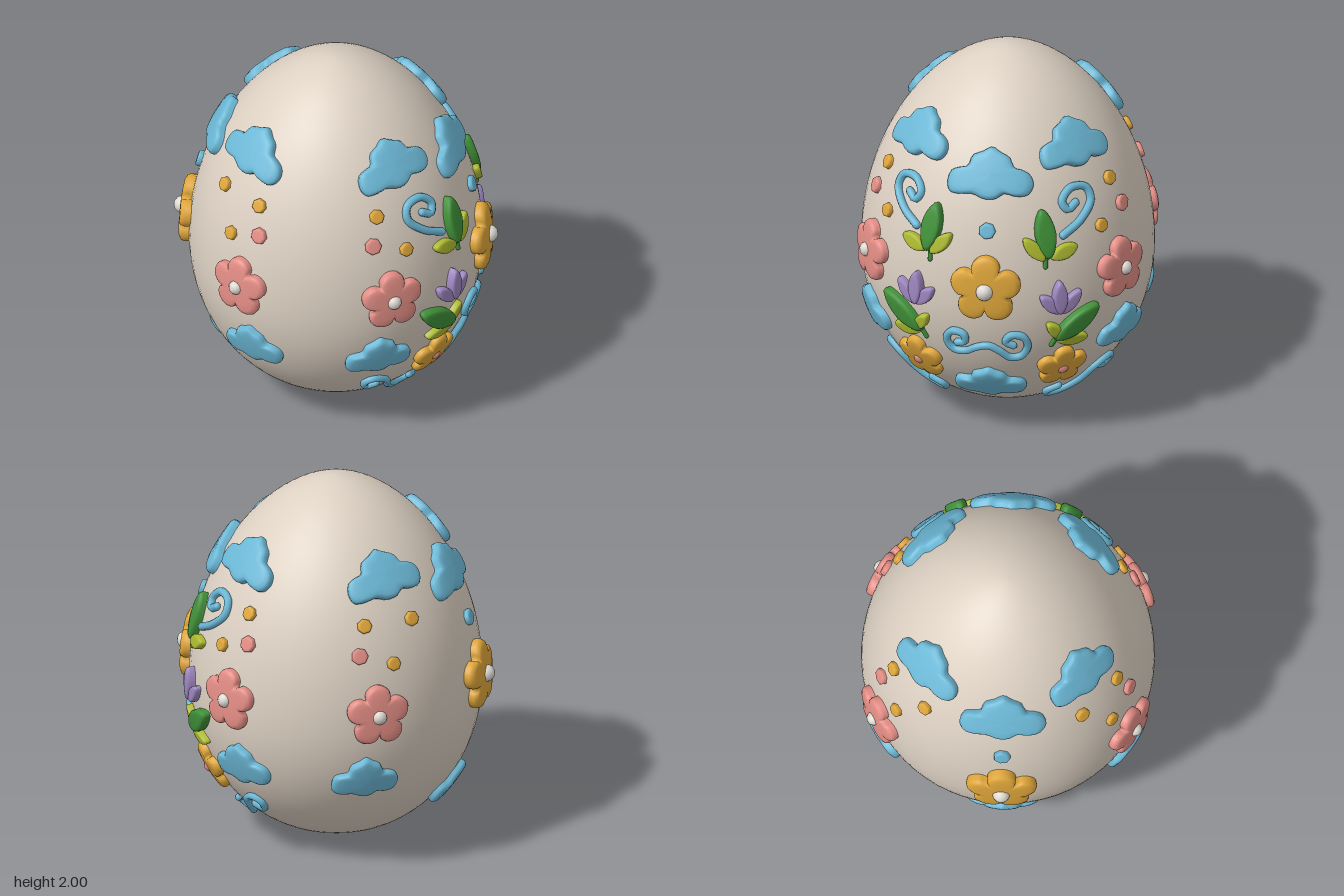
import * as THREE from 'three';

const paint = (name, color) => {
  const m = new THREE.MeshStandardMaterial({ color });
  m.name = name;
  return m;
};
const mats = {
  shell: paint('cream shell', 0xdcd0c2),
  base: paint('brown base', 0xb0795a),
  blue: paint('sky blue', 0x6cb8d6),
  yellow: paint('honey yellow', 0xdfa63a),
  pink: paint('soft pink', 0xe48e86),
  green: paint('leaf green', 0x3f9038),
  lime: paint('lime green', 0xadbb30),
  purple: paint('lilac', 0x9f87c0),
  white: paint('off white', 0xdedad2),
};

// Egg radius at height y
const MID = 0.85, RAD = 0.775;
function radiusAt(y) {
  const t = y > MID ? (y - MID) / (2 - MID) : (MID - y) / MID;
  return RAD * Math.pow(Math.max(0, 1 - t * t), y > MID ? 0.58 : 0.47);
}
// Point on the egg, azimuth measured from +x towards +z
function eggPoint(az, y) {
  const r = radiusAt(y);
  return new THREE.Vector3(r * Math.cos(az), y, r * Math.sin(az));
}
function eggNormal(p) {
  const y = THREE.MathUtils.clamp(p.y, 0.01, 1.99);
  const slope = (radiusAt(y + 0.005) - radiusAt(y - 0.005)) / 0.01;
  const az = Math.atan2(p.z, p.x);
  return new THREE.Vector3(Math.cos(az), -slope, Math.sin(az)).normalize();
}
const azFromZ = (z, y) => Math.asin(THREE.MathUtils.clamp(z / radiusAt(y), -1, 1));

// Relief patch: a flat outline laid over the curved egg with a rounded rim
// Each ring: outline scale, sink below the shell, share of the thickness
const RIM = [[1, -0.02, 0], [1, 0, 0.5], [0.94, 0, 0.85], [0.82, 0, 1], [0.6, 0, 1.02], [0.3, 0, 1.02], [0, 0, 1.02]];
function patchGeometry(outline, az, y, roll, thick) {
  const anchor = eggPoint(az, y), n = eggNormal(anchor);
  const right = new THREE.Vector3(0, 1, 0).cross(n).normalize();
  const up = n.clone().cross(right);
  const c = Math.cos(roll), s = Math.sin(roll), count = outline.length;
  const pos = [], idx = [];
  RIM.forEach(([scale, sink, lift], ring) => {
    outline.forEach(([a, b], j) => {
      const u = (a * c - b * s) * scale, v = (a * s + b * c) * scale;
      const q = anchor.clone().addScaledVector(right, u).addScaledVector(up, v);
      // slide back along the normal until the egg is met
      let lo = -0.02, hi = 0.3;
      for (let k = 0; k < 22; k++) {
        const mid = (lo + hi) / 2, p = q.clone().addScaledVector(n, -mid);
        if (Math.hypot(p.x, p.z) > radiusAt(p.y)) lo = mid; else hi = mid;
      }
      q.addScaledVector(n, -lo);
      q.addScaledVector(eggNormal(q), sink + lift * thick);
      pos.push(q.x, q.y, q.z);
      if (ring < RIM.length - 1) {
        const j2 = (j + 1) % count, o = ring * count, i = o + count;
        idx.push(o + j, o + j2, i + j2, o + j, i + j2, i + j);
      }
    });
  });
  const g = new THREE.BufferGeometry();
  g.setAttribute('position', new THREE.Float32BufferAttribute(pos, 3));
  g.setIndex(idx);
  g.computeVertexNormals();
  return g;
}

// Outlines, all counter-clockwise
const polar = (n, f) => Array.from({ length: n }, (_, i) => {
  const t = (i / n) * Math.PI * 2, r = f(t);
  return [r * Math.cos(t), r * Math.sin(t)];
});
const dotShape = (r) => polar(7, () => r);
const flowerShape = (r) => polar(60, (t) =>
  r * (0.62 + 0.38 * Math.pow(Math.abs(Math.cos(2.5 * (t - Math.PI / 2))), 0.6)));
const leafShape = (len, wid) => polar(20, () => 1).map(([u, v]) =>
  [u * wid / 2 * (1 - 0.25 * v * v), v * len / 2]);
const CLOUD = [[0.5, -0.08], [0.46, 0.03], [0.36, 0.08], [0.27, 0.1], [0.21, 0.2], [0.1, 0.25], [0, 0.3],
  [-0.1, 0.25], [-0.22, 0.2], [-0.27, 0.09], [-0.36, 0.07], [-0.46, 0.03], [-0.5, -0.1], [-0.46, -0.19],
  [-0.33, -0.21], [-0.2, -0.2], [-0.05, -0.25], [0.08, -0.24], [0.18, -0.18], [0.3, -0.2], [0.44, -0.18]];
const cloudShape = (w, h) => new THREE.CatmullRomCurve3(
  CLOUD.map(([a, b]) => new THREE.Vector3(a * w, b * h / 0.55, 0)), true)
  .getPoints(48).slice(0, -1).map((p) => [p.x, p.y]);

export function createModel() {
  const model = new THREE.Group();
  model.name = 'decoratedEgg';
  const add = (name, geo, mat, parent = model) => {
    const m = new THREE.Mesh(geo, mat);
    m.name = name;
    parent.add(m);
    return m;
  };

  // Egg shell and its coloured underside
  const lathe = (y0, y1, steps) => {
    const a0 = Math.asin(y0 - 1), a1 = Math.asin(y1 - 1);
    return new THREE.LatheGeometry(Array.from({ length: steps + 1 }, (_, i) => {
      const y = 1 + Math.sin(a0 + (a1 - a0) * i / steps);
      return new THREE.Vector2(radiusAt(y), y);
    }), 64);
  };
  add('shell', lathe(0.06, 2, 48), mats.shell);
  add('base', lathe(0, 0.06, 8), mats.base);

  const patch = (name, mat, shape, az, y, roll = 0, thick = 0.04) =>
    add(name, patchGeometry(shape, az, y, roll, thick), mats[mat]);

  // Flower with a rounded heart standing on the egg
  const flower = (name, mat, heartMat, az, y, r, thick, heartR, heartH) => {
    patch(name, mat, flowerShape(r), az, y, 0, thick);
    const p = eggPoint(az, y), n = eggNormal(p);
    const heart = add(name + 'Heart', new THREE.SphereGeometry(heartR, 12, 8), mats[heartMat]);
    heart.position.copy(p).addScaledVector(n, heartH - heartR);
  };

  // Rounded cord following the egg through [azimuth, y] points
  const cord = (name, mat, points, r) => {
    const pts = points.map(([az, y]) => {
      const p = eggPoint(az, y);
      return p.addScaledVector(eggNormal(p), r * 0.5);
    });
    const group = new THREE.Group();
    group.name = name;
    model.add(group);
    const path = new THREE.CatmullRomCurve3(pts);
    add(name + 'Cord', new THREE.TubeGeometry(path, pts.length * 5, r, 8), mats[mat], group);
    for (const p of [pts[0], pts[pts.length - 1]])
      add(name + 'End', new THREE.SphereGeometry(r, 8, 6), mats[mat], group).position.copy(p);
  };

  // Decorations facing left and right
  for (const az of [0, Math.PI]) {
    patch('upperCloud', 'blue', cloudShape(0.445, 0.275), az, 1.53, 0, 0.045);
    patch('blueDot', 'blue', dotShape(0.045), az, 1.26, 0, 0.025);
    flower('largeFlower', 'yellow', 'white', az, 0.945, 0.187, 0.055, 0.047, 0.095);
    patch('lowerCloud', 'blue', cloudShape(0.375, 0.24), az, 0.32, 0, 0.04);
  }

  // Decorations repeated at all four diagonals
  for (const side of [1, -1]) for (const f of [1, -1]) {
    const turn = (deg) => f * THREE.MathUtils.degToRad(side > 0 ? deg : 180 - deg);
    patch('highCloud', 'blue', cloudShape(0.42, 0.27), turn(48), 1.63, side * f * 0.08, 0.045);
    patch('midCloud', 'blue', cloudShape(0.35, 0.24), turn(63), 0.575, 0, 0.04);
    flower('pinkFlower', 'pink', 'white', turn(58.5), 0.945, 0.168, 0.045, 0.04, 0.075);
    patch('yellowDot', 'yellow', dotShape(0.04), turn(62), 1.415, 0, 0.025);
    patch('pinkDot', 'pink', dotShape(0.045), turn(65), 1.268, 0, 0.025);
    patch('yellowDot', 'yellow', dotShape(0.038), turn(50.6), 1.21, 0, 0.025);
    if (side < 0) patch('yellowDot', 'yellow', dotShape(0.04), turn(38.5), 1.41, 0, 0.025);
  }

  // Garden motifs on the left side, mirrored front to back
  for (const f of [1, -1]) {
    const leaf = (name, mat, z, y, roll, len, wid, thick = 0.035) =>
      patch(name, mat, leafShape(len, wid), f * azFromZ(z, y), y, f * roll, thick);
    const byZ = (pts) => pts.map(([z, y]) => [f * azFromZ(z, y), y]);
    const byDeg = (pts) => pts.map(([deg, y]) => [f * THREE.MathUtils.degToRad(deg), y]);

    // upper sprig
    leaf('limeLeaf', 'lime', 0.392, 1.13, 1.27, 0.16, 0.08);
    leaf('limeLeaf', 'lime', 0.245, 1.16, -0.7, 0.165, 0.075);
    leaf('greenLeaf', 'green', 0.297, 1.235, -0.08, 0.27, 0.11, 0.045);
    cord('stem', 'green', byZ([[0.307, 1.12], [0.305, 1.09], [0.305, 1.06]]), 0.013);
    // lower sprig
    leaf('limeLeaf', 'lime', 0.43, 0.612, 1.63, 0.18, 0.07);
    leaf('limeLeaf', 'lime', 0.35, 0.682, -0.7, 0.13, 0.065);
    leaf('greenLeaf', 'green', 0.456, 0.712, 0.98, 0.295, 0.115, 0.045);
    cord('stem', 'green', byZ([[0.37, 0.65], [0.35, 0.62], [0.33, 0.585]]), 0.013);
    // tulip
    leaf('tulipPetal', 'purple', 0.43, 0.845, 0.75, 0.16, 0.07);
    leaf('tulipPetal', 'purple', 0.33, 0.845, -0.75, 0.15, 0.07);
    leaf('tulipPetal', 'purple', 0.375, 0.88, 0, 0.19, 0.08, 0.045);
    // small flower
    flower('smallFlower', 'yellow', 'pink', f * azFromZ(0.368, 0.425), 0.425, 0.14, 0.04, 0.036, 0.055);

    // curls
    cord('upperCurl', 'blue', byZ([[0.385, 1.215], [0.465, 1.275], [0.505, 1.36], [0.475, 1.425],
      [0.405, 1.44], [0.37, 1.385], [0.4, 1.34], [0.435, 1.365]]), 0.022);
    cord('lowerCurl', 'blue', byDeg([[60.6, 0.3], [65.6, 0.285], [67, 0.335], [63, 0.36], [56, 0.32],
      [51.7, 0.235], [44.6, 0.18], [34.6, 0.165], [31.5, 0.205], [37.3, 0.235]]), 0.02);
  }

  // Double scroll below the large flower
  cord('scroll', 'blue', [[0.155, 0.6], [0.115, 0.615], [0.12, 0.66], [0.18, 0.67], [0.213, 0.615], [0.18, 0.555],
    [0.115, 0.55], [0.05, 0.585], [-0.01, 0.6], [-0.065, 0.57], [-0.12, 0.525], [-0.18, 0.535], [-0.213, 0.6],
    [-0.19, 0.66], [-0.13, 0.67], [-0.1, 0.63], [-0.14, 0.605]].map(([z, y]) => [azFromZ(z, y), y]), 0.021);

  return model;
}
